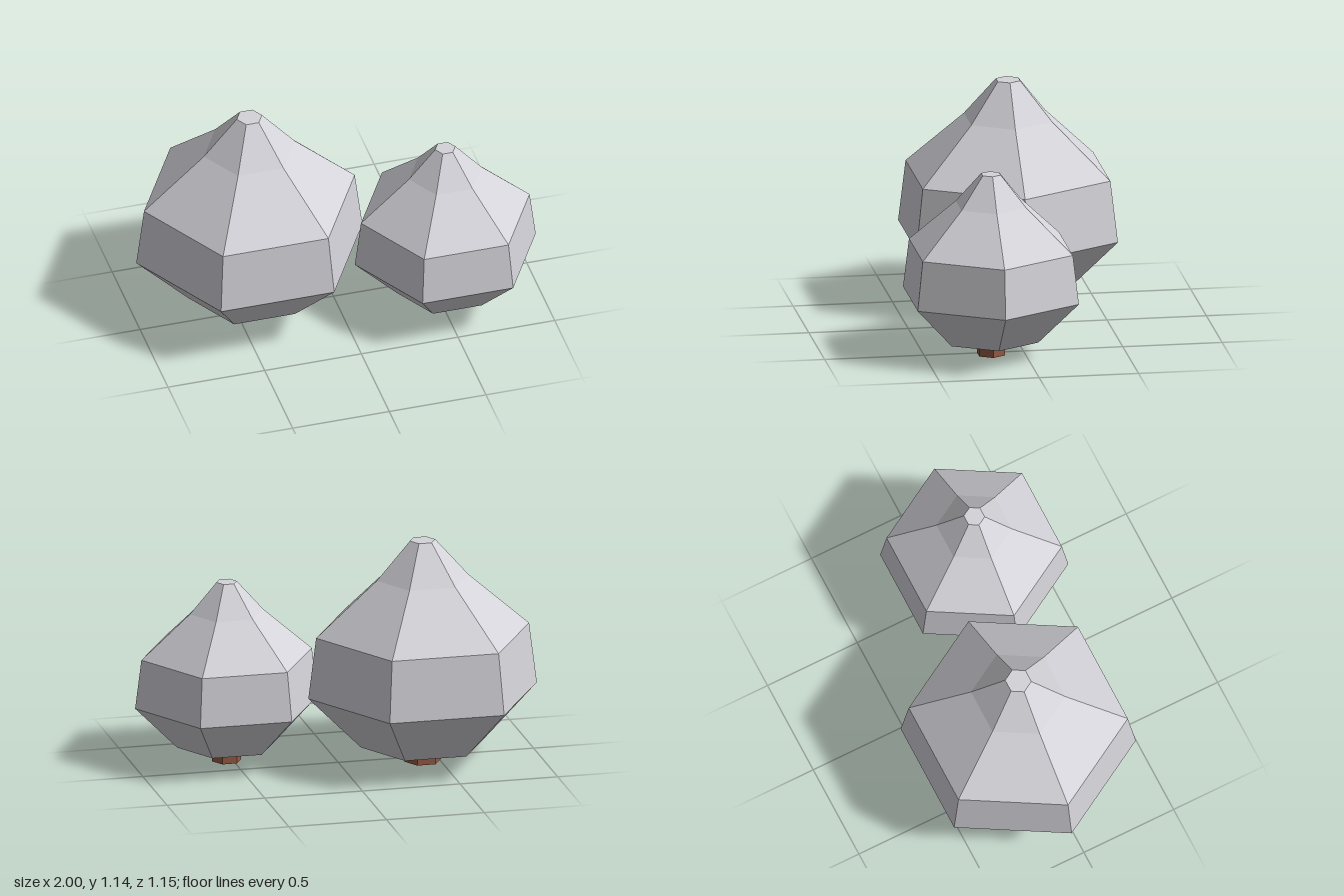
import * as THREE from 'three';

const STEM_HEIGHT = 0.06;
const SIDES = 6;

// Foliage profile [radius, height above the trunk], from bottom to tip
const PROFILE = [
  [0, 0], [0.093, 0], [0.315, 0.03], [0.585, 0.303],
  [0.545, 0.615], [0.235, 0.89], [0.065, 1.085], [0, 1.085],
].map(([r, y]) => new THREE.Vector2(r, y));

export function createModel() {
  const leaf = new THREE.MeshStandardMaterial({ color: 0xd4d3d9, flatShading: true });
  leaf.name = 'pale grey foliage';
  const bark = new THREE.MeshStandardMaterial({ color: 0x955a43, flatShading: true });
  bark.name = 'brown bark';

  // Six-sided parts, turned so corners point along x
  const foliageShape = new THREE.LatheGeometry(PROFILE, SIDES, Math.PI / 2);
  const trunkShape = new THREE.CylinderGeometry(0.093, 0.093, STEM_HEIGHT, SIDES, 1, false, Math.PI / 2);

  function makeBush(name, x, z, scale) {
    const bush = new THREE.Group();
    bush.name = name;
    bush.position.set(x, 0, z);

    const foliage = new THREE.Mesh(foliageShape, leaf);
    foliage.name = 'foliage';
    foliage.position.y = STEM_HEIGHT;
    foliage.scale.setScalar(scale);

    // Trunk height is the same for both bushes
    const trunk = new THREE.Mesh(trunkShape, bark);
    trunk.name = 'trunk';
    trunk.position.y = STEM_HEIGHT / 2;
    trunk.scale.set(scale, 1, scale);

    bush.add(foliage, trunk);
    return bush;
  }

  const model = new THREE.Group();
  model.name = 'bushes';
  model.add(
    makeBush('largeBush', -0.415, -0.068, 1),
    makeBush('smallBush', 0.53, 0.168, 0.8),
  );
  return model;
}
